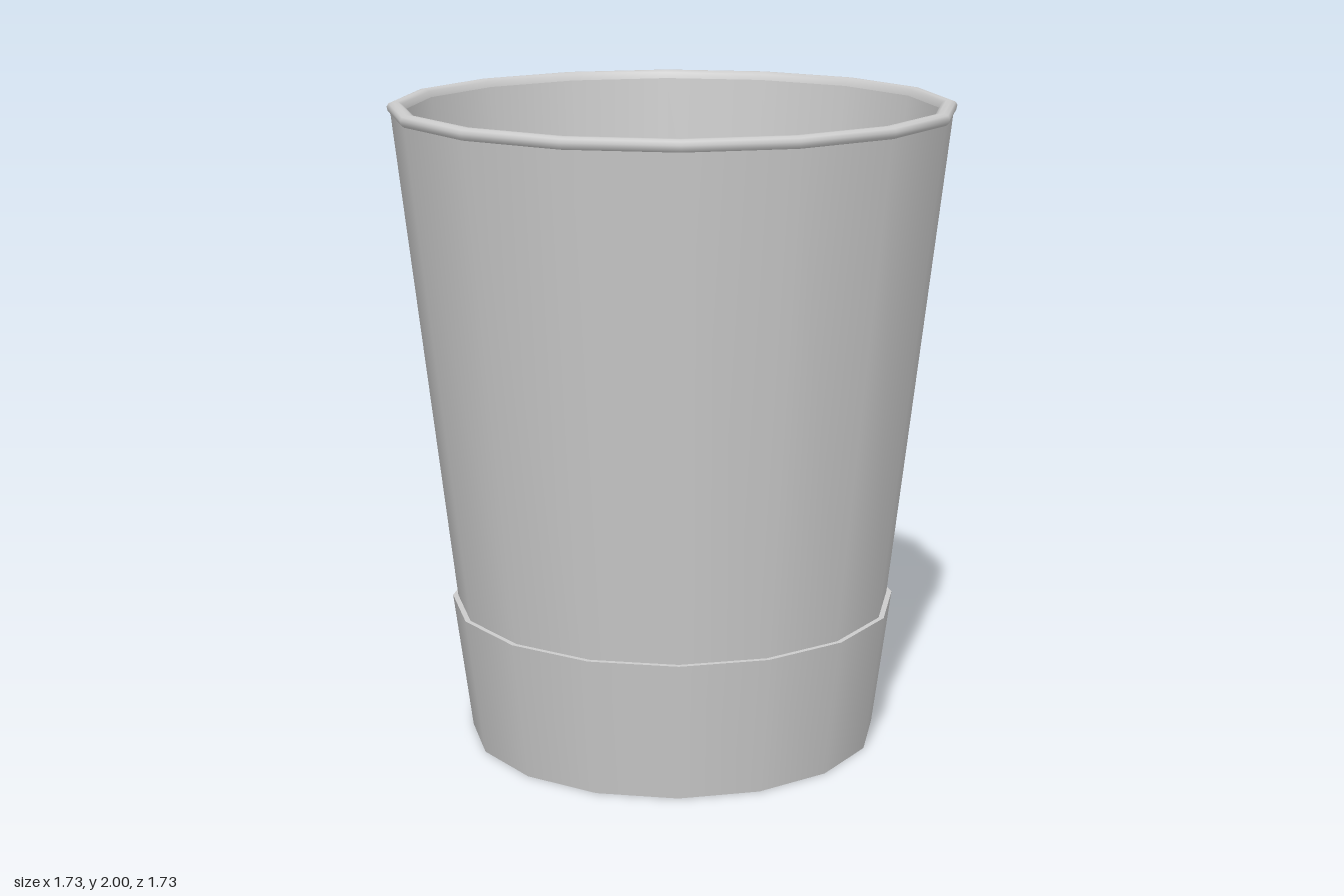
import * as THREE from 'three';
import { mergeGeometries } from 'three/addons/utils/BufferGeometryUtils.js';

const SIDES = 16;
const material = new THREE.MeshStandardMaterial({ color: 0xcccccc });

// Revolves each profile run on its own, so edges between runs stay sharp
// while each run is smooth around the cup. Points are [radius, height].
function revolved(name, ...runs) {
  const parts = runs.map((run) =>
    new THREE.LatheGeometry(run.map(([r, y]) => new THREE.Vector2(r, y)), SIDES));
  const mesh = new THREE.Mesh(mergeGeometries(parts), material);
  mesh.name = name;
  return mesh;
}

export function createModel() {
  const group = new THREE.Group();
  group.name = 'cup';

  // Tapered wall, outside going up and inside going down
  group.add(revolved('wall',
    [[0.68, 0.43], [0.855, 1.965]],
    [[0.814, 1.975], [0.66, 0.43]]));

  // Rounded lip
  group.add(revolved('rim',
    [[0.855, 1.965], [0.863, 1.972], [0.866, 1.985], [0.86, 1.995], [0.847, 2],
      [0.832, 2], [0.82, 1.993], [0.814, 1.975]]));

  // Wider base band with a small step outside and a ledge inside
  group.add(revolved('baseBand',
    [[0.64, 0], [0.697, 0.435]],
    [[0.697, 0.435], [0.68, 0.435]],
    [[0.66, 0.43], [0.645, 0.43]],
    [[0.645, 0.43], [0.61, 0.08]]));

  // Underside and inner floor
  group.add(revolved('bottom', [[0, 0], [0.64, 0]]));
  group.add(revolved('floor', [[0.61, 0.08], [0, 0.08]]));

  return group;
}
